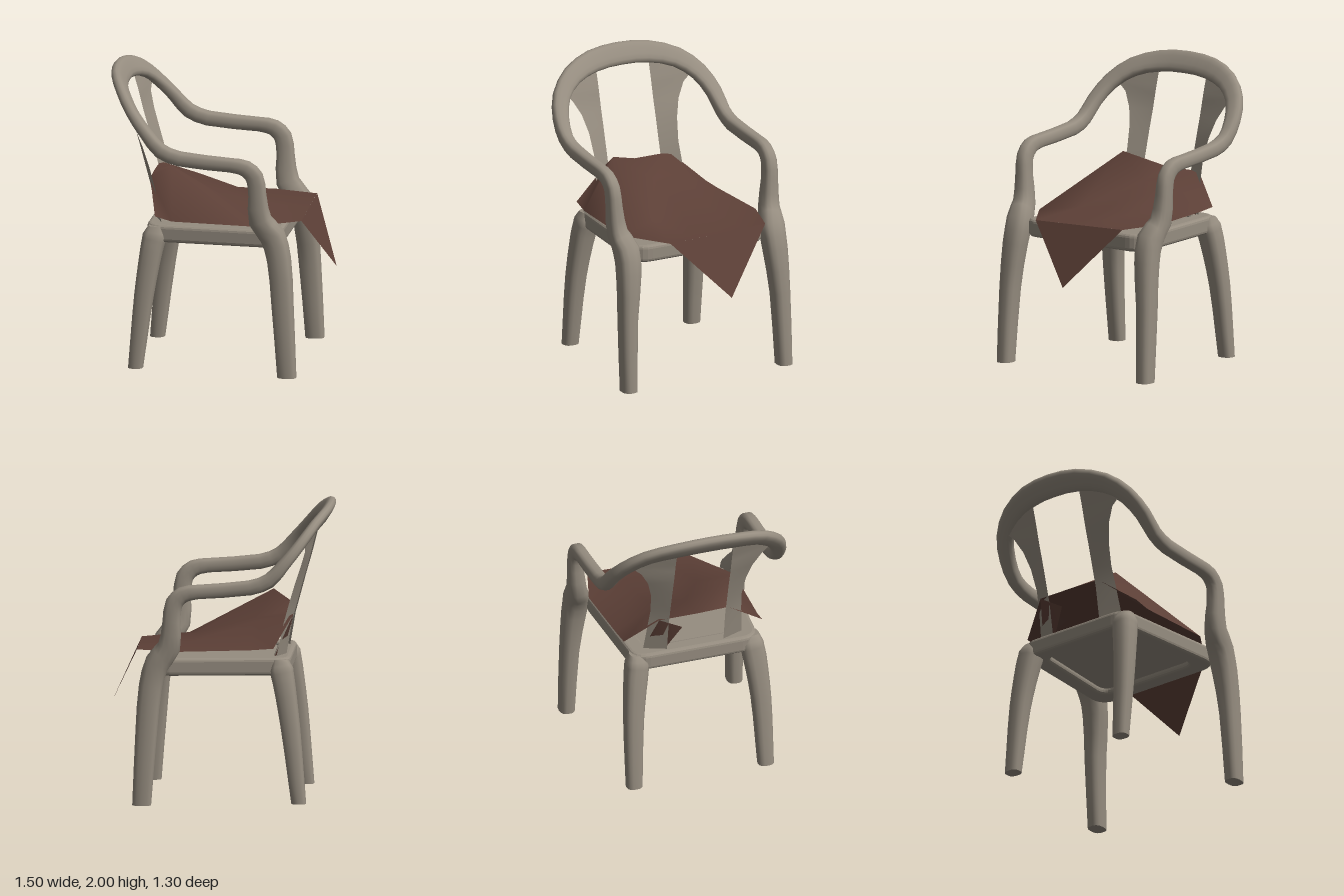
import * as THREE from 'three';

const plastic = new THREE.MeshStandardMaterial({ color: 0x968d80 });
plastic.name = 'warm grey plastic';
const thinPlastic = plastic.clone();
thinPlastic.side = THREE.DoubleSide;
const cloth = new THREE.MeshStandardMaterial({ color: 0x5d4037, side: THREE.DoubleSide });
cloth.name = 'brown cloth';

function geometryFrom(positions, index) {
  const g = new THREE.BufferGeometry();
  g.setAttribute('position', new THREE.Float32BufferAttribute(positions, 3));
  g.setIndex(index);
  g.computeVertexNormals();
  return g;
}

// Capped limb through stations [x, y, z, tilt in degrees, half depth, half width]
function limb(stations, perStation = 2, sides = 14) {
  const curve = new THREE.CatmullRomCurve3(stations.map(s => new THREE.Vector3(s[0], s[1], s[2])));
  const steps = (stations.length - 1) * perStation;
  const pos = [], idx = [];
  for (let i = 0; i <= steps; i++) {
    const u = i / steps, f = u * (stations.length - 1);
    const k = Math.min(Math.floor(f), stations.length - 2);
    const [tilt, depth, width] = [3, 4, 5].map(n => THREE.MathUtils.lerp(stations[k][n], stations[k + 1][n], f - k));
    const c = curve.getPoint(u), t = curve.getTangent(u);
    if (i === 0 || i === steps) t.set(0, Math.sign(t.y), 0);
    const a = THREE.MathUtils.degToRad(tilt);
    const b = new THREE.Vector3(Math.cos(a), Math.sin(a), 0);
    b.addScaledVector(t, -b.dot(t)).normalize();
    const w = new THREE.Vector3().crossVectors(t, b);
    for (let j = 0; j < sides; j++) {
      const q = (j + 0.5) / sides * Math.PI * 2;
      const round = v => Math.sign(v) * Math.pow(Math.abs(v), 0.75);
      const p = c.clone().addScaledVector(b, round(Math.cos(q)) * depth).addScaledVector(w, round(Math.sin(q)) * width);
      pos.push(p.x, p.y, p.z);
      if (i < steps) {
        const n = (j + 1) % sides, r = i * sides;
        idx.push(r + j, r + n, r + sides + j, r + n, r + sides + n, r + sides + j);
      }
    }
  }
  // flat end caps on their own vertices
  for (const ring of [0, steps]) {
    const base = pos.length / 3;
    for (let j = 0; j < sides * 3; j++) pos.push(pos[ring * sides * 3 + j]);
    for (let j = 1; j < sides - 1; j++) {
      if (ring === 0) idx.push(base, base + j + 1, base + j);
      else idx.push(base, base + j, base + j + 1);
    }
  }
  return geometryFrom(pos, idx);
}

// Sheet through rows of [x, y, z] points, all rows of equal length
function sheet(rows) {
  const n = rows[0].length, idx = [];
  for (let i = 0; i < rows.length - 1; i++)
    for (let j = 0; j < n - 1; j++) {
      const a = i * n + j;
      idx.push(a, a + n, a + 1, a + 1, a + n, a + n + 1);
    }
  return geometryFrom(rows.flat(2), idx);
}

// Rounded seat outline, inset by d; shape y becomes -z
function seatOutline(d, Type) {
  const s = new Type();
  const b = -0.46 + d, f = 0.47 - d, wb = 0.45 - d, wf = 0.5 - d, r = 0.1;
  s.moveTo(b, -wb + r);
  s.quadraticCurveTo(b, -wb, b + r, -wb);
  s.lineTo(f - r, -wf);
  s.quadraticCurveTo(f, -wf, f, -wf + r);
  s.lineTo(f, wf - r);
  s.quadraticCurveTo(f, wf, f - r, wf);
  s.lineTo(b + r, wb);
  s.quadraticCurveTo(b, wb, b, wb - r);
  s.closePath();
  return s;
}

export function createModel() {
  const group = new THREE.Group();
  const add = (name, geometry, material) => {
    const m = new THREE.Mesh(geometry, material);
    m.name = name;
    group.add(m);
    return m;
  };

  // One continuous rail: front leg, arm, back hoop, arm, front leg
  const half = [
    [0.528, 0, 0.593, 0, 0.064, 0.053],
    [0.497, 0.5, 0.582, 5, 0.074, 0.063],
    [0.47, 0.8, 0.56, 5, 0.08, 0.08],
    [0.425, 0.96, 0.555, 8, 0.085, 0.085],
    [0.345, 1.07, 0.58, 5, 0.078, 0.064],
    [0.328, 1.25, 0.595, 8, 0.06, 0.052],
    [0.31, 1.37, 0.6, 20, 0.06, 0.048],
    [0.25, 1.43, 0.603, 55, 0.055, 0.046],
    [0.15, 1.45, 0.605, 88, 0.048, 0.045],
    [-0.2, 1.48, 0.6, 90, 0.05, 0.047],
    [-0.33, 1.53, 0.6, 65, 0.05, 0.047],
    [-0.43, 1.64, 0.585, 45, 0.042, 0.055],
    [-0.53, 1.76, 0.525, 35, 0.038, 0.062],
    [-0.61, 1.86, 0.4, 33, 0.036, 0.07],
    [-0.67, 1.915, 0.21, 33, 0.035, 0.078],
  ];
  const mirrored = half.map(([x, y, z, ...rest]) => [x, y, -z, ...rest]).reverse();
  add('armAndBackRail', limb([...half, [-0.685, 1.93, 0, 33, 0.035, 0.08], ...mirrored]), plastic);

  // Seat rim and pan
  const rim = seatOutline(0.025, THREE.Shape);
  rim.holes.push(seatOutline(0.1, THREE.Path));
  const rimGeo = new THREE.ExtrudeGeometry(rim, {
    depth: 0.07, bevelThickness: 0.025, bevelSize: 0.025, bevelSegments: 3, curveSegments: 6,
  });
  rimGeo.rotateX(-Math.PI / 2).translate(0, 0.885, 0);
  add('seatRim', rimGeo, plastic);
  const panGeo = new THREE.ExtrudeGeometry(seatOutline(0.06, THREE.Shape), { depth: 0.06, bevelEnabled: false });
  panGeo.rotateX(-Math.PI / 2).translate(0, 0.9, 0);
  add('seatPan', panGeo, plastic);

  for (const side of [1, -1]) {
    const label = side > 0 ? 'Near' : 'Far';
    // Back legs
    add('backLeg' + label, limb([
      [-0.52, 0, 0.465 * side, 0, 0.05, 0.055],
      [-0.465, 0.5, 0.45 * side, 0, 0.065, 0.068],
      [-0.42, 0.8, 0.42 * side, 0, 0.075, 0.08],
      [-0.4, 0.9, 0.405 * side, 0, 0.08, 0.08],
      [-0.39, 0.97, 0.4 * side, 0, 0.05, 0.055],
    ], 3), plastic);

    // Back slats, flaring into the hoop: [y, inner x, outer x, outer z]
    const slat = [
      [1.88, -0.645, -0.615, 0.42], [1.76, -0.61, -0.56, 0.49], [1.7, -0.595, -0.56, 0.425],
      [1.6, -0.57, -0.53, 0.37], [1.48, -0.535, -0.49, 0.337], [1.33, -0.495, -0.445, 0.322],
      [1.2, -0.46, -0.41, 0.33], [0.96, -0.42, -0.36, 0.35],
    ];
    add('backSlat' + label, sheet(slat.map(([y, xi, xo, z]) =>
      [[xi, y, 0.2 * side], [xo, y, z * side]])), thinPlastic);
  }

  // Crumpled seat cloth, rows from back to front
  add('seatCloth', sheet([
    [[-0.385, 1.05, 0.49], [-0.46, 1.25, 0.22], [-0.47, 1.25, 0], [-0.47, 1.25, -0.27], [-0.35, 1.05, -0.48]],
    [[-0.27, 1.02, 0.495], [-0.31, 1.35, 0.25], [-0.2, 1.19, 0], [-0.2, 1.19, -0.22], [-0.2, 1.04, -0.49]],
    [[0.27, 1.01, 0.51], [0.2, 1.05, 0.22], [0.2, 1.06, 0], [0.2, 1.06, -0.22], [0.27, 1.03, -0.52]],
    [[0.58, 1.01, 0.3], [0.577, 1.015, 0.12], [0.575, 1.02, -0.07], [0.572, 1.025, -0.25], [0.57, 1.03, -0.43]],
  ]), cloth);
  add('clothFrontFlap', geometryFrom([0.58, 1.01, 0.3, 0.76, 0.62, -0.07, 0.57, 1.03, -0.43], [0, 1, 2]), cloth);
  // Narrow tuck behind the cloth
  add('clothBackTuck', geometryFrom(
    [-0.47, 1.25, -0.27, -0.45, 1.15, -0.1, -0.4, 0.98, -0.2, -0.35, 0.98, -0.34], [0, 2, 1, 0, 3, 2]), cloth);

  return group;
}
